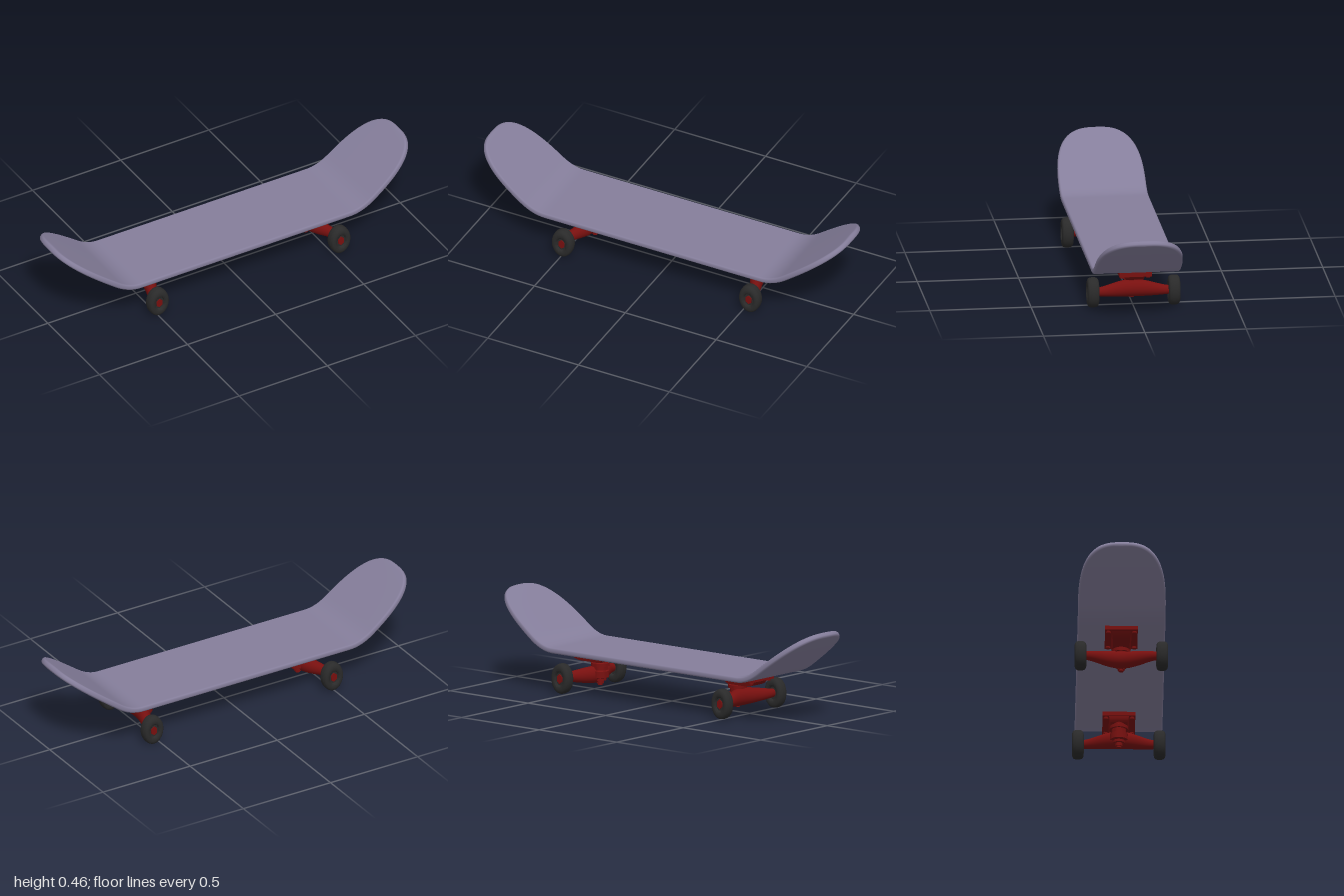
import * as THREE from 'three';
import { mergeVertices, toCreasedNormals } from 'three/addons/utils/BufferGeometryUtils.js';

const deckMat = new THREE.MeshStandardMaterial({ color: 0x857e9b });
const redMat = new THREE.MeshStandardMaterial({ color: 0x78100f });
const wheelMat = new THREE.MeshStandardMaterial({ color: 0x2a2a2a });

function add(parent, name, geometry, material, x = 0, y = 0, z = 0) {
  const mesh = new THREE.Mesh(geometry, material);
  mesh.name = name;
  mesh.position.set(x, y, z);
  parent.add(mesh);
  return mesh;
}

// Lathe from [radius, height] pairs, keeping hard edges sharp
function lathe(pairs, segments = 32, crease = 0.6) {
  const points = pairs.map(([r, y]) => new THREE.Vector2(r, y));
  return toCreasedNormals(new THREE.LatheGeometry(points, segments), crease);
}

// Deck: rounded outline with bevelled rim, both ends kicked up
function deckGeometry() {
  const L = 0.993, W = 0.215, knee = 0.658, blend = 0.065, slope = 0.735;
  const rim = [[0.009, -0.015], [0.003, -0.012], [0, -0.006], [0, 0.006], [0.003, 0.012], [0.009, 0.015]];
  const ring = [...rim.map(([i, h]) => [i, h, 1]), ...rim.slice().reverse().map(([i, h]) => [i, h, -1])];
  const N = 120, M = ring.length, pos = [], index = [];
  const halfWidth = (s) => {
    const t = Math.max(0, (Math.abs(s) - 0.7) / 0.3);
    return W * Math.pow(Math.max(0, 1 - Math.pow(t, 2.8)), 1 / 2.8);
  };
  for (let i = 0; i <= N; i++) {
    const s = Math.sin((i / N - 0.5) * Math.PI);
    for (const [inset, h, side] of ring) {
      const x = s * (L - inset), d = Math.abs(x) - knee;
      let y = 0, k = 0;
      if (d > blend) { y = slope * d; k = slope; }
      else if (d > -blend) {
        y = slope * (d + blend) ** 2 / (4 * blend);
        k = slope * (d + blend) / (2 * blend);
      }
      const n = Math.hypot(1, k);
      pos.push(x - Math.sign(x) * h * k / n, 0.21 + y + h / n, side * halfWidth(s) * (1 - inset / W));
    }
  }
  for (let i = 0; i < N; i++) {
    for (let j = 0; j < M; j++) {
      const a = i * M + j, b = i * M + (j + 1) % M;
      index.push(a, a + M, b, b, a + M, b + M);
    }
  }
  let g = new THREE.BufferGeometry();
  g.setAttribute('position', new THREE.Float32BufferAttribute(pos, 3));
  g.setIndex(index);
  g = mergeVertices(g, 1e-5);
  g.computeVertexNormals();
  return g;
}

// Hanger: barrel along z, bowed toward the kingpin at its middle
function hangerGeometry() {
  const points = [];
  for (let i = 0; i <= 24; i++) {
    const t = i / 12 - 1;
    points.push(new THREE.Vector2(0.0215 + 0.0215 * Math.cos(t * Math.PI / 2) ** 1.3, t * 0.178));
  }
  const g = new THREE.LatheGeometry(points, 32);
  g.rotateX(Math.PI / 2);
  const p = g.attributes.position;
  for (let i = 0; i < p.count; i++) {
    const t = p.getZ(i) / 0.178;
    p.setX(i, p.getX(i) * 0.9 - 0.018 + 0.05 * (1 - t * t) ** 2);
  }
  g.computeVertexNormals();
  return g;
}

// Wheel with recessed hub and axle nut, axis along z
function makeWheel() {
  const wheel = new THREE.Group();
  wheel.name = 'wheel';
  const half = [[0.016, 0.018], [0.032, 0.018], [0.036, 0.026], [0.042, 0.029], [0.056, 0.0285],
    [0.066, 0.0255], [0.072, 0.02], [0.0748, 0.012], [0.0755, 0.005]];
  const profile = [...half.map(([r, y]) => [r, -y]), ...half.slice().reverse()];
  add(wheel, 'tyre', lathe(profile, 40, 0.9).rotateX(Math.PI / 2), wheelMat);
  add(wheel, 'axle', new THREE.CylinderGeometry(0.017, 0.017, 0.046, 20).rotateX(Math.PI / 2), redMat);
  add(wheel, 'axleNut', new THREE.CylinderGeometry(0.024, 0.024, 0.008, 6).rotateX(Math.PI / 2), redMat, 0, 0, 0.019);
  wheel.scale.x = 0.74;
  return wheel;
}

// Truck, with its kingpin toward +x
function makeTruck() {
  const truck = new THREE.Group();
  truck.name = 'truck';
  add(truck, 'basePlate', new THREE.BoxGeometry(0.225, 0.022, 0.16), redMat, 0, 0.186, 0);

  // Tapered riser below the plate
  const side = new THREE.Shape();
  side.moveTo(-0.1, 0.178);
  side.lineTo(-0.085, 0.158);
  side.quadraticCurveTo(-0.07, 0.145, -0.04, 0.142);
  side.lineTo(0.085, 0.142);
  side.quadraticCurveTo(0.103, 0.15, 0.105, 0.178);
  const riser = new THREE.ExtrudeGeometry(side, { depth: 0.096, bevelEnabled: false, curveSegments: 8 });
  riser.translate(0, 0, -0.048);
  const p = riser.attributes.position;
  for (let i = 0; i < p.count; i++) p.setZ(i, p.getZ(i) * (0.86 + (p.getY(i) - 0.142) * 5));
  add(truck, 'riser', toCreasedNormals(riser, 0.6), redMat);

  // Bolts at the plate corners
  for (const x of [-0.088, 0.088]) {
    for (const z of [-0.064, 0.064]) {
      add(truck, 'plateBolt', new THREE.CylinderGeometry(0.012, 0.012, 0.012, 6), redMat, x, 0.171, z);
    }
  }

  // Kingpin with bushings, washers and nut
  const stack = [[0, 0.026], [0.012, 0.026], [0.012, 0.034], [0.018, 0.034], [0.018, 0.05], [0.03, 0.05],
    [0.03, 0.062], [0.044, 0.066], [0.044, 0.098], [0.036, 0.102], [0.036, 0.122], [0.046, 0.122],
    [0.046, 0.138], [0.04, 0.141], [0.04, 0.15]];
  add(truck, 'kingpin', lathe(stack), redMat, 0.055, 0, 0);
  add(truck, 'hanger', hangerGeometry(), redMat, 0, 0.078, 0);

  for (const s of [1, -1]) {
    const wheel = makeWheel();
    wheel.position.set(-0.018, 0.0765, s * 0.2);
    if (s < 0) wheel.rotation.y = Math.PI;
    truck.add(wheel);
  }
  return truck;
}

export function createModel() {
  const model = new THREE.Group();
  model.name = 'skateboard';
  add(model, 'deck', deckGeometry(), deckMat);
  const rightTruck = makeTruck();
  rightTruck.position.x = -0.4775;
  const leftTruck = makeTruck();
  leftTruck.position.x = 0.5175;
  leftTruck.rotation.y = Math.PI;
  model.add(rightTruck, leftTruck);
  return model;
}
